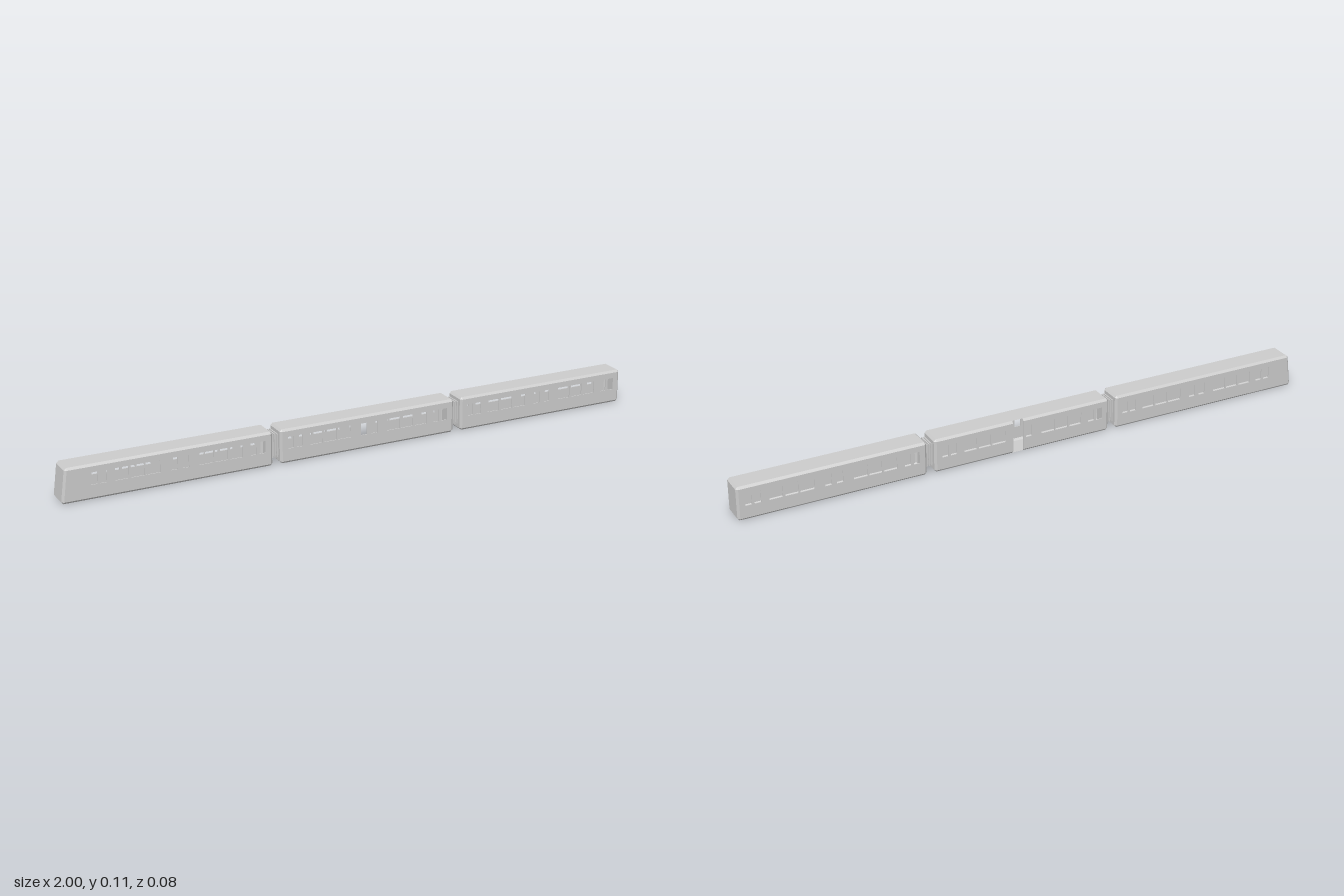
import * as THREE from 'three';

const material = new THREE.MeshStandardMaterial({ color: 0xcccccc, flatShading: true, side: THREE.DoubleSide });

const TOP = 0.114;      // roof height
const HALF = 0.041;     // half width
const C = 0.007;        // bevel on every outer edge
const LOW = C, HIGH = TOP - C;
const WALL = 0.003;     // side wall thickness
const PITCH = 0.6525, CENTRE = 0.0345, HALF_LENGTH = 0.313;

// Windows of one half car: [distance from the car's middle, width]
const WINDOWS = [[0.019, 0.022], [0.088, 0.047], [0.138, 0.043], [0.189, 0.043], [0.247, 0.021], [0.277, 0.021]];
const SILL = 0.048, HEAD = 0.088;

function addMesh(parent, name, geometry) {
  const mesh = new THREE.Mesh(geometry, material);
  mesh.name = name;
  parent.add(mesh);
  return mesh;
}

// Flat polygons (convex corner lists), all turned to face away from the centre
function facets(polygons, centre) {
  const positions = [];
  for (const polygon of polygons) {
    const p = polygon.map((v) => new THREE.Vector3(...v));
    const normal = p[1].clone().sub(p[0]).cross(p[2].clone().sub(p[0]));
    const middle = p.reduce((sum, v) => sum.add(v), new THREE.Vector3()).divideScalar(p.length);
    if (normal.dot(middle.sub(centre)) < 0) p.reverse();
    for (let i = 1; i < p.length - 1; i++) {
      for (const v of [p[0], p[i], p[i + 1]]) positions.push(v.x, v.y, v.z);
    }
  }
  const geometry = new THREE.BufferGeometry();
  geometry.setAttribute('position', new THREE.Float32BufferAttribute(positions, 3));
  geometry.computeVertexNormals();
  return geometry;
}

// Side wall with window openings between two end lines x = f(y)
function sideWall(x0, x1, middle) {
  const shape = new THREE.Shape([
    new THREE.Vector2(x0(LOW), LOW), new THREE.Vector2(x1(LOW), LOW),
    new THREE.Vector2(x1(HIGH), HIGH), new THREE.Vector2(x0(HIGH), HIGH),
  ]);
  for (const side of [-1, 1]) {
    for (const [offset, width] of WINDOWS) {
      const a = middle + side * offset - width / 2, b = a + width;
      if (a < x0(HEAD) || b > x1(HEAD)) continue;
      shape.holes.push(new THREE.Path([
        new THREE.Vector2(a, SILL), new THREE.Vector2(a, HEAD),
        new THREE.Vector2(b, HEAD), new THREE.Vector2(b, SILL),
      ]));
    }
  }
  return new THREE.ExtrudeGeometry(shape, { depth: WALL, bevelEnabled: false });
}

function createCar(name, middle, left, lean, gap) {
  const car = new THREE.Group();
  car.name = name;
  const right = middle + HALF_LENGTH;
  const centre = new THREE.Vector3((left + right) / 2, TOP / 2, 0);
  const endL = (y) => left + lean * y / TOP;
  const endR = () => right;
  const bodyL = (y) => endL(y) + C;
  const bodyR = () => right - C;
  const inner = HALF - C;

  // Roof and floor panels
  for (const [part, y] of [['roof', TOP], ['floor', 0]]) {
    addMesh(car, part, facets([[
      [bodyL(y), y, -inner], [bodyR(y), y, -inner], [bodyR(y), y, inner], [bodyL(y), y, inner],
    ]], centre));
  }

  // Sides with their long bevels; an open doorway splits the back one
  for (const s of [1, -1]) {
    const spans = s < 0 && gap
      ? [[bodyL, () => gap[0]], [() => gap[1], bodyR]]
      : [[bodyL, bodyR]];
    for (const [x0, x1] of spans) {
      const wall = addMesh(car, s > 0 ? 'frontWall' : 'backWall', sideWall(x0, x1, middle));
      wall.position.z = s > 0 ? HALF - WALL : -HALF;
      addMesh(car, 'longBevels', facets([[LOW, 0], [HIGH, TOP]].map(([y, edge]) => [
        [x0(y), y, s * HALF], [x1(y), y, s * HALF], [x1(edge), edge, s * inner], [x0(edge), edge, s * inner],
      ]), centre));
    }
  }

  // End panels with bevelled edges and corners
  for (const [part, end, body] of [['rightEnd', endL, bodyL], ['leftEnd', endR, bodyR]]) {
    const polygons = [[
      [end(LOW), LOW, -inner], [end(LOW), LOW, inner], [end(HIGH), HIGH, inner], [end(HIGH), HIGH, -inner],
    ]];
    for (const [y, edge] of [[LOW, 0], [HIGH, TOP]]) {
      polygons.push([
        [end(y), y, -inner], [end(y), y, inner], [body(edge), edge, inner], [body(edge), edge, -inner],
      ]);
      for (const s of [-1, 1]) {
        polygons.push([[end(y), y, s * inner], [body(y), y, s * HALF], [body(edge), edge, s * inner]]);
      }
    }
    for (const s of [-1, 1]) {
      polygons.push([
        [end(LOW), LOW, s * inner], [body(LOW), LOW, s * HALF],
        [body(HIGH), HIGH, s * HALF], [end(HIGH), HIGH, s * inner],
      ]);
    }
    addMesh(car, part, facets(polygons, centre));
  }
  return car;
}

// Ribbed gangway between two cars
function createGangway(x) {
  const gangway = new THREE.Group();
  gangway.name = 'gangway';
  addMesh(gangway, 'gangwayCore', new THREE.BoxGeometry(0.03, 0.07, 0.046)).position.set(x, 0.06, 0);
  for (let i = -1; i <= 1; i++) {
    addMesh(gangway, 'gangwayRib', new THREE.BoxGeometry(0.004, 0.078, 0.054)).position.set(x + i * 0.008, 0.06, 0);
  }
  return gangway;
}

export function createModel() {
  const train = new THREE.Group();
  train.name = 'train';
  const middles = [-1, 0, 1].map((i) => CENTRE + i * PITCH);

  // Cab car with a sloping nose, then two coaches
  train.add(createCar('cabCar', middles[0], -1, 0.015, null));
  train.add(createCar('middleCar', middles[1], middles[1] - HALF_LENGTH, 0, [0.035, 0.072]));
  train.add(createCar('endCar', middles[2], middles[2] - HALF_LENGTH, 0, null));
  for (const i of [0, 1]) train.add(createGangway((middles[i] + middles[i + 1]) / 2));
  return train;
}
